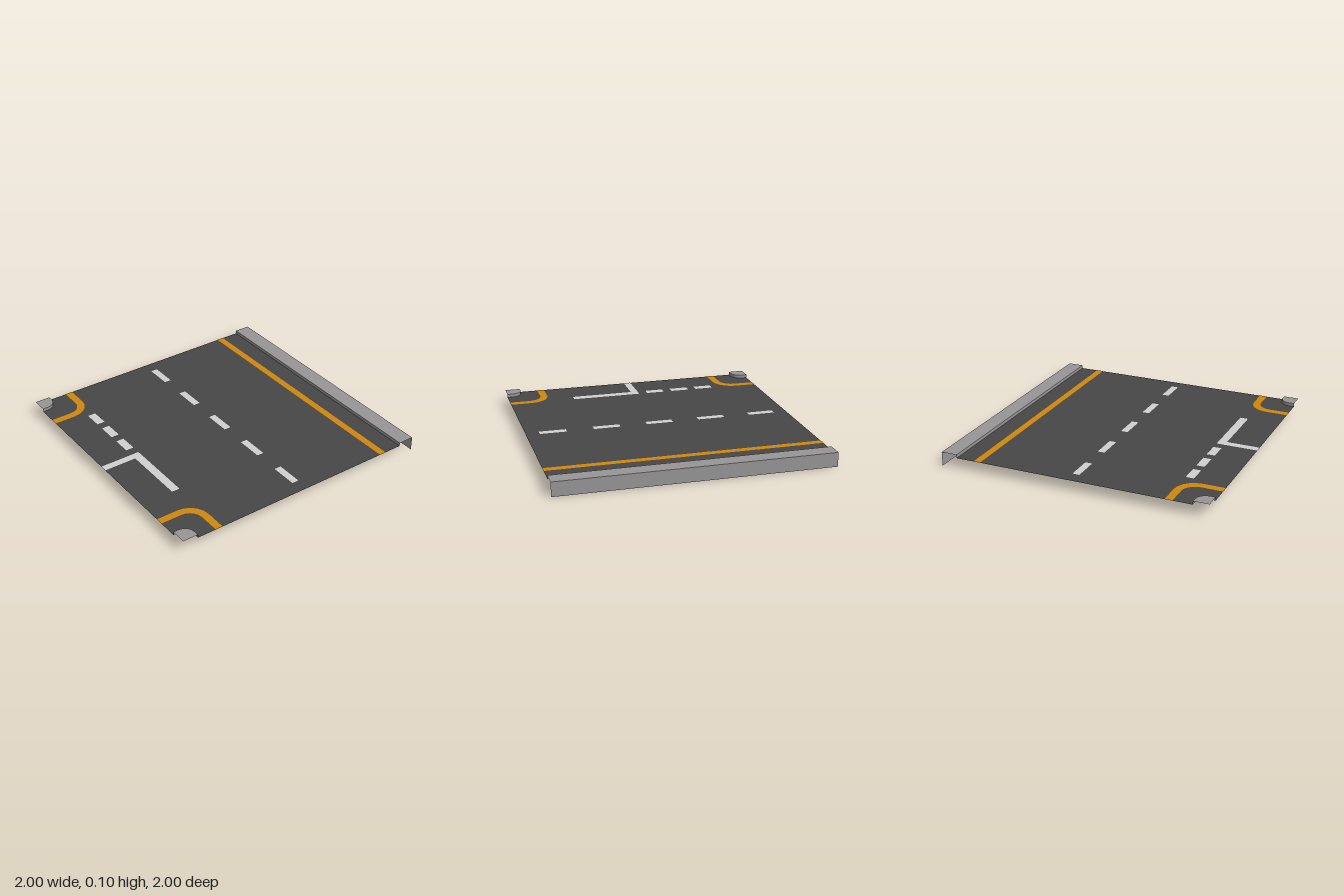
import * as THREE from 'three';

const ROAD_Y = 0.08, KERB_Y = 0.105, KERB_X = 0.88, PAINT_Y = ROAD_Y + 0.002;

const asphalt = new THREE.MeshStandardMaterial({ color: 0x474747, side: THREE.DoubleSide });
asphalt.name = 'asphalt';
const concrete = new THREE.MeshStandardMaterial({ color: 0x979595, side: THREE.DoubleSide });
concrete.name = 'concrete';
const whitePaint = new THREE.MeshStandardMaterial({ color: 0xd0d0d0 });
whitePaint.name = 'whitePaint';
const orangePaint = new THREE.MeshStandardMaterial({ color: 0xd0870c });
orangePaint.name = 'orangePaint';

// Rounded path around the left-hand corner at z = s, from the end edge to the side edge.
// Points are [x, z]; d is the distance from the corner, r the bend radius.
function cornerPath(s, d, r, steps) {
  const pts = [[d - 1, s]];
  for (let i = 0; i <= steps; i++) {
    const a = (i / steps) * Math.PI / 2;
    pts.push([-1 + d - r + r * Math.cos(a), s * (1 - d + r - r * Math.sin(a))]);
  }
  pts.push([-1, s * (1 - d)]);
  return pts;
}

// Flat upward-facing polygon from [x, z] points
function flat(name, pts, y, material) {
  const shape = new THREE.Shape(pts.map(([x, z]) => new THREE.Vector2(x, -z)));
  const mesh = new THREE.Mesh(new THREE.ShapeGeometry(shape).rotateX(-Math.PI / 2), material);
  mesh.position.y = y;
  mesh.name = name;
  return mesh;
}

function rect(name, x0, x1, z0, z1, y, material) {
  return flat(name, [[x0, z0], [x1, z0], [x1, z1], [x0, z1]], y, material);
}

// Open upright strip along [x, z] points
function wall(name, pts, y0, y1) {
  const v = [];
  for (let i = 0; i < pts.length - 1; i++) {
    const [ax, az] = pts[i], [bx, bz] = pts[i + 1];
    v.push(ax, y0, az, bx, y0, bz, bx, y1, bz, ax, y0, az, bx, y1, bz, ax, y1, az);
  }
  const geo = new THREE.BufferGeometry();
  geo.setAttribute('position', new THREE.Float32BufferAttribute(v, 3));
  geo.computeVertexNormals();
  const mesh = new THREE.Mesh(geo, concrete);
  mesh.name = name;
  return mesh;
}

export function createModel() {
  const model = new THREE.Group();
  model.name = 'roadTile';

  // Road surface, cut away under the kerbs
  const backKerb = cornerPath(-1, 0.115, 0.075, 4);
  const frontKerb = cornerPath(1, 0.115, 0.075, 4);
  model.add(flat('roadSurface',
    [[KERB_X, -1], ...backKerb, ...frontKerb.slice().reverse(), [KERB_X, 1]], ROAD_Y, asphalt));

  // Long kerb: top, inner step and tall outer wall
  const kerb = new THREE.Group();
  kerb.name = 'longKerb';
  kerb.add(rect('longKerbTop', KERB_X, 1, -1, 1, KERB_Y, concrete));
  kerb.add(wall('longKerbStep', [[KERB_X, 1], [KERB_X, -1]].reverse(), ROAD_Y, KERB_Y));
  kerb.add(wall('longKerbOuterWall', [[1, 1], [1, -1]], 0, KERB_Y));
  model.add(kerb);

  // Corner kerbs and the painted bends around them
  for (const s of [-1, 1]) {
    const side = s < 0 ? 'back' : 'front';
    const path = s < 0 ? backKerb : frontKerb;
    model.add(flat(side + 'CornerKerbTop', [...path, [-1, s]], KERB_Y, concrete));
    model.add(wall(side + 'CornerKerbStep', s < 0 ? path.slice().reverse() : path, ROAD_Y, KERB_Y));
    const outer = cornerPath(s, 0.31, 0.15, 5);
    const inner = cornerPath(s, 0.255, 0.1, 5);
    model.add(flat(side + 'CornerLine', [...outer, ...inner.reverse()], PAINT_Y, orangePaint));
  }

  // Edge line beside the long kerb
  model.add(rect('edgeLine', 0.69, 0.742, -1, 1, PAINT_Y, orangePaint));

  // Centre dashes
  for (let i = -2; i <= 2; i++) {
    model.add(rect('centreDash', -0.026, 0.026, i * 0.4 - 0.1, i * 0.4 + 0.1, PAINT_Y, whitePaint));
  }

  // Short dashes across the side road mouth
  for (let i = 0; i < 3; i++) {
    const z = -0.638 + i * 0.203;
    model.add(rect('junctionDash', -0.755, -0.695, z, z + 0.138, PAINT_Y, whitePaint));
  }

  // Solid line with the divider of the side road
  model.add(flat('junctionLine', [[-1, -0.028], [-0.695, -0.028], [-0.695, 0.5],
    [-0.755, 0.5], [-0.755, 0.026], [-1, 0.026]], PAINT_Y, whitePaint));

  return model;
}
